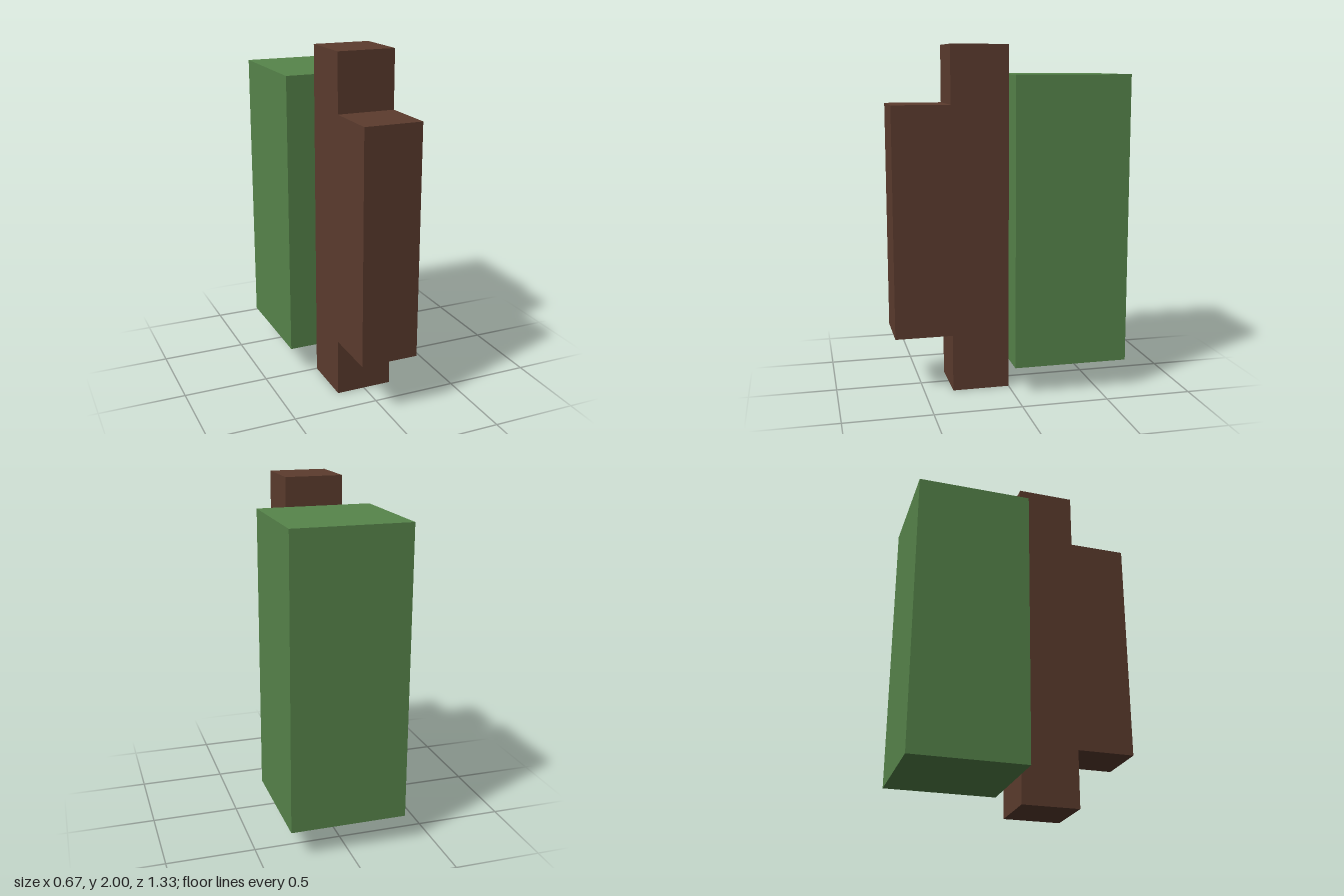
import * as THREE from 'three';

const U = 1 / 6; // grid unit of the blocky design

export function createModel() {
  const group = new THREE.Group();
  group.name = 'model';

  const brown = new THREE.MeshStandardMaterial({ color: 0x5c3c2e });
  brown.name = 'brown';
  const green = new THREE.MeshStandardMaterial({ color: 0x57854b });
  green.name = 'green';

  // Stepped spine: side profile (z, y) in units, extruded across x
  const profile = [[0, 0], [2, 0], [2, 2], [4, 2], [4, 10], [2, 10], [2, 12], [0, 12]];
  const shape = new THREE.Shape(profile.map(([z, y]) => new THREE.Vector2(z * U, y * U)));
  const spineGeometry = new THREE.ExtrudeGeometry(shape, { depth: 2 * U, bevelEnabled: false });
  spineGeometry.translate(0, 0, -U).rotateY(-Math.PI / 2);
  const spine = new THREE.Mesh(spineGeometry, brown);
  spine.name = 'steppedSpine';
  group.add(spine);

  // Large block behind the spine
  const block = new THREE.Mesh(new THREE.BoxGeometry(4 * U, 10 * U, 4 * U), green);
  block.name = 'rearBlock';
  block.position.set(0, 6 * U, -2 * U);
  group.add(block);

  return group;
}
